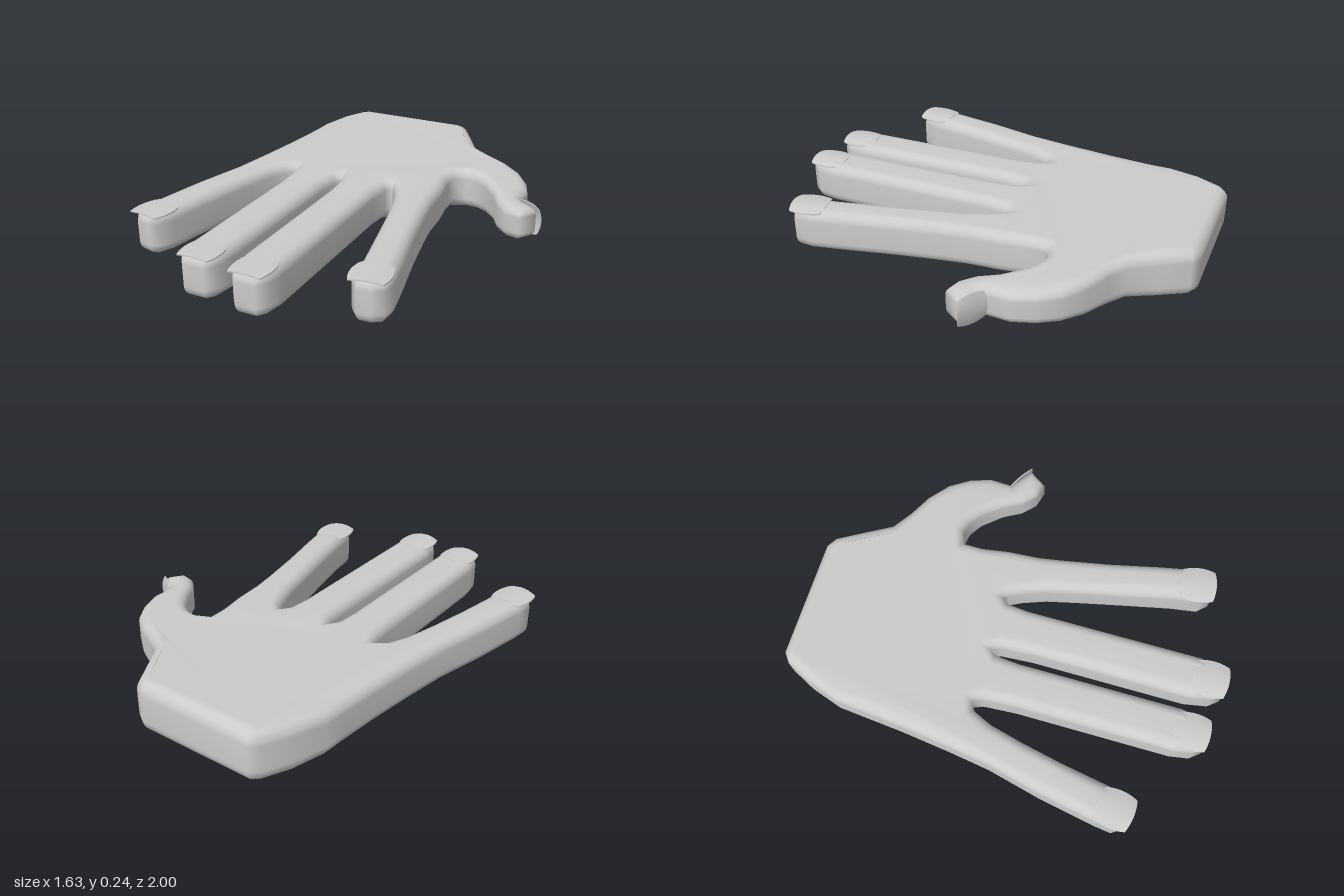
import * as THREE from 'three';
import { mergeVertices } from 'three/addons/utils/BufferGeometryUtils.js';

const material = new THREE.MeshStandardMaterial({ color: 0xcccccc, side: THREE.DoubleSide });
const { smoothstep, lerp } = THREE.MathUtils;

// Outline of the hand seen from above, as [x, z]
const wristAndThumb = [
  [-0.45, -1], [0.11, -1], [0.16, -0.97], [0.23, -0.85], [0.3, -0.73], [0.39, -0.67], [0.5, -0.615],
  [0.595, -0.54], [0.655, -0.45], [0.69, -0.35], [0.685, -0.245], [0.73, -0.21], [0.785, -0.165],
  [0.73, -0.085], [0.66, -0.105], [0.6, -0.165], [0.555, -0.25], [0.48, -0.34], [0.42, -0.38],
  [0.365, -0.39], [0.31, -0.365],
];
const indexFinger = [
  [0.31, -0.28], [0.33, -0.15], [0.34, 0], [0.36, 0.12], [0.4, 0.33], [0.45, 0.55], [0.485, 0.72],
  [0.48, 0.8], [0.43, 0.83], [0.37, 0.835], [0.33, 0.79], [0.31, 0.66], [0.26, 0.43], [0.22, 0.25],
  [0.18, 0.08], [0.14, -0.03], [0.11, -0.09], [0.09, -0.11], [0.07, -0.08],
];
const middleFinger = [
  [0.06, 0.02], [0.06, 0.4], [0.06, 0.85], [0.045, 0.94], [0.01, 0.985], [-0.085, 0.985], [-0.12, 0.94],
  [-0.14, 0.83], [-0.14, 0.4], [-0.14, 0.1], [-0.15, -0.05], [-0.17, -0.1], [-0.19, -0.06],
];
const ringFinger = [
  [-0.2, 0.05], [-0.2, 0.4], [-0.2, 0.82], [-0.215, 0.91], [-0.25, 0.955], [-0.35, 0.955], [-0.385, 0.91],
  [-0.4, 0.82], [-0.4, 0.4], [-0.4, 0.1], [-0.41, -0.06], [-0.43, -0.11], [-0.47, -0.08],
];
const littleFingerAndSide = [
  [-0.51, 0.01], [-0.55, 0.17], [-0.59, 0.36], [-0.635, 0.62], [-0.67, 0.7], [-0.71, 0.715],
  [-0.775, 0.7], [-0.81, 0.65], [-0.8, 0.57], [-0.75, 0.3], [-0.69, 0.05], [-0.66, -0.15],
  [-0.63, -0.39], [-0.61, -0.6], [-0.6, -0.7], [-0.55, -0.85], [-0.49, -0.97],
];

// Rounded slab following the outline, thicker at the wrist and thinner along the thumb
function handGeometry() {
  const outline = [...wristAndThumb, ...indexFinger, ...middleFinger, ...ringFinger, ...littleFingerAndSide];
  const shape = new THREE.Shape(outline.map(([x, z]) => new THREE.Vector2(x, -z)));
  const bevel = 0.05;
  let geo = new THREE.ExtrudeGeometry(shape, {
    depth: 0.1, bevelEnabled: true, bevelThickness: bevel, bevelSize: bevel, bevelOffset: -bevel, bevelSegments: 4,
  });
  geo.rotateX(-Math.PI / 2);
  const p = geo.attributes.position;
  for (let i = 0; i < p.count; i++) {
    const x = p.getX(i), z = p.getZ(i);
    const wrist = 1 - smoothstep(z, -0.9, -0.55);
    const thumb = z < -0.05 ? smoothstep(x, 0.36, 0.72) : 0;
    const half = lerp(lerp(0.102, 0.1175, wrist), 0.078, thumb);
    p.setY(i, 0.119 + ((p.getY(i) - 0.05) / 0.1) * half);
  }
  geo.deleteAttribute('normal');
  geo.deleteAttribute('uv');
  geo = mergeVertices(geo, 1e-4);
  geo.computeVertexNormals();
  return geo;
}

// Thin arched plate with rounded corners, lying along z
function nailGeometry(width, length) {
  const geo = new THREE.BoxGeometry(2, 0.006, 2, 10, 1, 10);
  const p = geo.attributes.position;
  for (let i = 0; i < p.count; i++) {
    const u = p.getX(i), v = p.getZ(i);
    const x = u * (1 - 0.16 * v * v), z = v * (1 - 0.12 * u * u);
    p.setXYZ(i, (x * width) / 2, p.getY(i) - 0.012 * u * u, (z * length) / 2);
  }
  geo.computeVertexNormals();
  return geo;
}

export function createModel() {
  const model = new THREE.Group();
  model.name = 'hand';
  const add = (name, geo) => {
    const mesh = new THREE.Mesh(geo, material);
    mesh.name = name;
    model.add(mesh);
    return mesh;
  };

  add('palmAndFingers', handGeometry());

  // Finger nails: name, x, z, turn
  const nails = [
    ['indexNail', 0.4, 0.758, 0.14],
    ['middleNail', -0.037, 0.91, 0],
    ['ringNail', -0.3, 0.88, 0],
    ['littleNail', -0.727, 0.637, -0.14],
  ];
  for (const [name, x, z, turn] of nails) {
    const nail = add(name, nailGeometry(0.175, 0.17));
    nail.position.set(x, 0.221, z);
    nail.rotation.y = turn;
  }

  // Thumb nail stands upright on the outer side of the thumb tip
  const thumbNail = add('thumbNail', nailGeometry(0.15, 0.145));
  const out = new THREE.Vector3(0.55, 0, -0.835).normalize();
  const along = new THREE.Vector3(0.835, 0, 0.55).normalize();
  const across = new THREE.Vector3().crossVectors(out, along);
  thumbNail.quaternion.setFromRotationMatrix(new THREE.Matrix4().makeBasis(across, out, along));
  thumbNail.position.set(0.748, 0.122, -0.212);

  return model;
}
